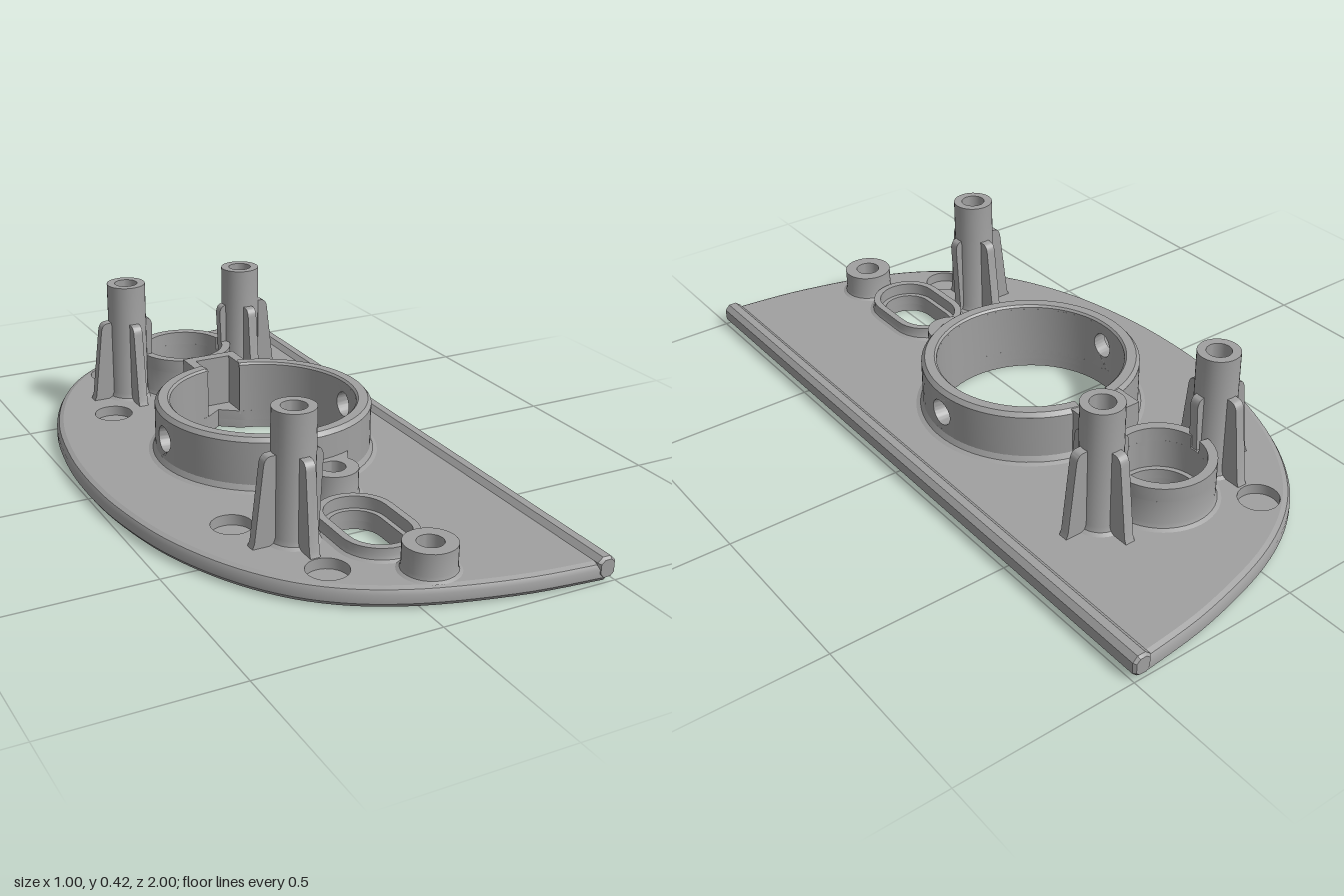
import * as THREE from 'three';
import { toCreasedNormals } from 'three/addons/utils/BufferGeometryUtils.js';

const V = (x, y) => new THREE.Vector2(x, y);
const PI = Math.PI;
const TOP = 0.055; // plate top

// Arc on the ground plane; angle 0 is -x, PI/2 is +z
function arc(cx, cz, r, a0 = 0, a1 = 2 * PI, n = 48) {
  return Array.from({ length: n + 1 }, (_, i) => {
    const a = a0 + (a1 - a0) * i / n;
    return V(cx - r * Math.cos(a), cz + r * Math.sin(a));
  });
}

// Path moved outward by d
function offset(path, d) {
  const last = path.length - 1;
  const closed = path[0].distanceTo(path[last]) < 1e-6;
  return path.map((p, i) => {
    const a = i > 0 ? path[i - 1] : closed ? path[last - 1] : p;
    const b = i < last ? path[i + 1] : closed ? path[1] : p;
    const t = b.clone().sub(a).normalize();
    return V(p.x - t.y * d, p.y + t.x * d);
  });
}

// Sweep a profile of [offset, height] pairs along a ground path
function sweep(path, profile) {
  const pos = [], idx = [], n = path.length;
  for (const [d, y] of profile) for (const p of offset(path, d)) pos.push(p.x, y, p.y);
  for (let j = 0; j < profile.length - 1; j++) {
    for (let i = 0; i < n - 1; i++) {
      const a = j * n + i, b = a + 1, c = a + n, e = c + 1;
      idx.push(a, b, c, b, e, c);
    }
  }
  const g = new THREE.BufferGeometry();
  g.setAttribute('position', new THREE.Float32BufferAttribute(pos, 3));
  g.setIndex(idx);
  return g;
}

// Extrude a ground outline (x, z) with holes between two heights
function slab(outline, y0, y1, holes = []) {
  const flip = pts => pts.map(p => V(p.x, -p.y));
  const shape = new THREE.Shape(flip(outline));
  shape.holes = holes.map(h => new THREE.Path(flip(h)));
  return new THREE.ExtrudeGeometry(shape, { depth: y1 - y0, bevelEnabled: false })
    .rotateX(-PI / 2).translate(0, y0, 0);
}

export function createModel() {
  const model = new THREE.Group();
  const grey = new THREE.MeshStandardMaterial({ color: 0xa0a0a0 });
  grey.name = 'plain grey';
  const add = (name, geometry, parent = model) => {
    const mesh = new THREE.Mesh(toCreasedNormals(geometry, 0.6), grey);
    mesh.name = name;
    parent.add(mesh);
    return mesh;
  };

  // Plate outline and openings
  const half = [[0.47, -1], [0.24, -0.972], [-0.02, -0.9], [-0.21, -0.79], [-0.345, -0.63], [-0.44, -0.42], [-0.487, -0.2]];
  const knots = [...half, [-0.5, 0], ...half.map(([x, z]) => [x, -z]).reverse()];
  const edge = new THREE.SplineCurve(knots.map(k => V(...k))).getPoints(80);
  const cx = 0.037, key = 1.5 * PI;
  const stadium = r => {
    const p = [...arc(0.03, 0.655, r, 0, PI, 16), ...arc(0.03, 0.545, r, PI, 2 * PI, 16)];
    return [...p, p[0].clone()];
  };
  const openHole = pts => pts.slice(0, -1);
  const keyHole = [
    ...arc(cx, 0, 0.265, key + 0.209, key - 0.209 + 2 * PI, 64),
    V(cx - 0.055, -0.34), V(cx + 0.055, -0.34),
  ];
  const through = [keyHole, openHole(arc(0.04, -0.56, 0.108)), openHole(stadium(0.073))];
  const pits = [[-0.155, -0.73], [-0.26, -0.415], [-0.26, 0.41], [-0.155, 0.725]]
    .map(([x, z]) => openHole(arc(x, z, 0.056, 0, 2 * PI, 32)));
  const core = offset(edge, -0.02);
  add('plateBottom', slab(core, 0, 0.025, through));
  add('plateTop', slab(core, 0.025, TOP, [...through, ...pits]));
  add('plateRim', sweep(edge, [[-0.02, 0], [-0.008, 0.004], [0, 0.015], [0, 0.038], [-0.007, 0.05], [-0.02, TOP]]));

  // Bead along the straight edge
  const bead = new THREE.Shape([[0.462, 0.008], [0.488, 0.01], [0.5, 0.022], [0.5, 0.054], [0.486, 0.068], [0.463, 0.068], [0.448, 0.055], [0.448, 0.025]].map(p => V(...p)));
  add('edgeBead', new THREE.ExtrudeGeometry(bead, { depth: 1.984, bevelEnabled: true, bevelThickness: 0.008, bevelSize: 0.006, bevelOffset: -0.006, bevelSegments: 1 }).translate(0, 0, -0.992));

  // Main collar: wall sectors between two drilled panels and the key slot
  const R = 0.308, wall = 0.043, gap = 0.175, yCap = 0.198;
  for (const [a, b] of [[gap, PI - gap], [PI + gap, key - 0.2], [key + 0.2, 2 * PI - gap]]) {
    add('collarWall', sweep(arc(cx, 0, R, a, b, 28), [[0, TOP], [0, yCap], [-wall, yCap], [-wall, TOP - 0.01]]));
  }
  const around = arc(cx, 0, R, key + 0.2, key - 0.2 + 2 * PI, 72);
  add('collarTop', sweep(around, [[0, yCap], [-0.01, 0.21], [-wall + 0.006, 0.21], [-wall, 0.204], [-wall, yCap]]));
  add('collarFillet', sweep(around, [[0.02, TOP], [0.008, 0.06], [0, 0.075]]));

  // Drilled panels, bent to the collar's radius
  const w = gap * 0.285;
  const steps = [-1, -0.5, 0, 0.5, 1];
  const panel = new THREE.Shape([...steps.map(s => V(s * w, TOP)), ...steps.map(s => V(-s * w, yCap))]);
  panel.holes.push(new THREE.Path().absarc(0, 0.135, 0.037, 0, 2 * PI, true));
  for (const side of [0, PI]) {
    const g = new THREE.ExtrudeGeometry(panel, { depth: wall, bevelEnabled: false, curveSegments: 24 });
    const p = g.attributes.position;
    for (let i = 0; i < p.count; i++) {
      const r = R - wall + p.getZ(i), a = side + p.getX(i) / 0.285;
      p.setXYZ(i, cx - r * Math.cos(a), p.getY(i), r * Math.sin(a));
    }
    add('drilledPanel', g);
  }

  // Key slot walls
  const U = [[-0.083, -0.265], [-0.083, -0.372], [0.083, -0.372], [0.083, -0.265], [0.055, -0.262], [0.055, -0.34], [-0.055, -0.34], [-0.055, -0.262]];
  add('keyWall', slab(U.map(([x, z]) => V(cx + x, z)), TOP - 0.01, 0.208));

  // Small collar with a notch on each side
  const ring = arc(0.04, -0.56, 0.146);
  add('smallCollar', sweep(ring, [[0.016, TOP], [0.005, 0.06], [0, 0.072], [0, 0.14], [-0.026, 0.14], [-0.026, TOP], [-0.04, TOP]]));
  for (const a of [0, PI]) {
    const s = arc(0.04, -0.56, 0.146, a + 0.14, a + PI - 0.14, 28);
    add('smallCollarTop', slab([...s, ...offset(s, -0.026).reverse()], 0.14, 0.18));
  }

  // Low wall around the long slot
  add('slotWall', sweep(stadium(0.106), [[0.014, TOP], [0.004, 0.06], [0, 0.07], [0, 0.09], [-0.02, 0.09], [-0.02, TOP], [-0.034, TOP]]));

  // Screw bosses, one joined to the main collar
  const lathe = pts => new THREE.LatheGeometry(pts.map(p => V(...p)), 32);
  for (const z of [0.357, 0.832]) {
    add('boss', lathe([[0.082, TOP], [0.073, 0.06], [0.07, 0.07], [0.07, 0.13], [0.035, 0.13], [0.035, 0.07], [0, 0.07]]))
      .position.set(0.066, 0, z);
  }
  add('bossWeb', slab([V(-0.035, 0.285), V(0.16, 0.27), V(0.13, 0.325), V(0.1, 0.325), V(0.03, 0.325), V(0, 0.325)], TOP, 0.13));

  // Hollow posts with tapered ribs
  function rib(base, top) {
    const s = new THREE.Shape();
    s.moveTo(0.045, TOP - 0.005);
    s.lineTo(base + 0.008, TOP - 0.005);
    s.lineTo(base, TOP + 0.015);
    s.lineTo(top, 0.275);
    s.quadraticCurveTo(top - 0.003, 0.3, top - 0.022, 0.3);
    s.lineTo(0.045, 0.3);
    return new THREE.ExtrudeGeometry(s, { depth: 0.028, bevelEnabled: false, curveSegments: 5 }).translate(0, 0, -0.014);
  }
  // Each post has one short rib, facing the neighbouring opening
  for (const [x, z, short] of [[-0.155, -0.548, 0], [0.231, -0.548, 2], [-0.155, 0.545, 0]]) {
    const post = new THREE.Group();
    post.name = 'post';
    post.position.set(x, 0, z);
    add('postTube', lathe([[0.074, TOP], [0.063, 0.061], [0.058, 0.075], [0.058, 0.416], [0.034, 0.416], [0.034, 0.2], [0, 0.2]]), post);
    for (let i = 0; i < 4; i++) {
      add('postRib', i === short ? rib(0.068, 0.077) : rib(0.114, 0.09), post).rotation.y = i * PI / 2;
    }
    model.add(post);
  }
  return model;
}
